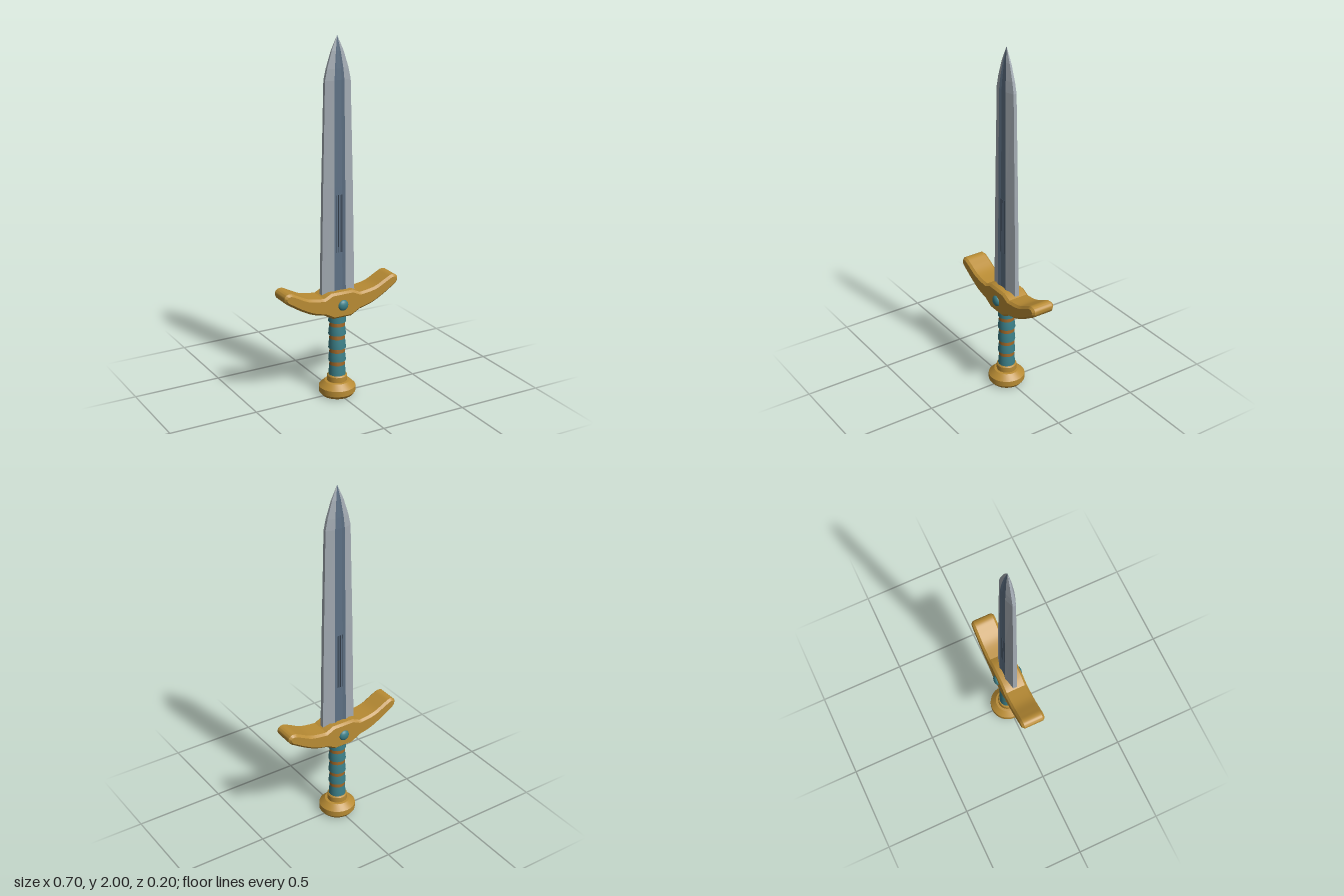
import * as THREE from 'three';
import { toCreasedNormals } from 'three/addons/utils/BufferGeometryUtils.js';

const mat = (name, color) => Object.assign(new THREE.MeshStandardMaterial({ color }), { name });

// Blade stations: y, half width, fuller half width, ridge depth, edge depth
const STATIONS = [
  [0.56, 0.102, 0.036, 0.033, 0.012],
  [1.2, 0.09, 0.033, 0.03, 0.011],
  [1.77, 0.076, 0.029, 0.026, 0.009],
  [1.83, 0.063, 0.025, 0.022, 0.008],
  [1.92, 0.035, 0.014, 0.013, 0.005],
  [2.0, 0, 0, 0, 0],
];

// Front half of the blade's cross-section, from the +x edge round to the -x edge
function section([y, w, f, z, e]) {
  const floor = z * 0.8;
  return [[w, -e], [w, e], [f, z], [f * 0.5, floor], [-f * 0.5, floor], [-f, z], [-w, e]]
    .map(([x, d]) => [x, y, d]);
}

// Lofts the chosen faces of the section along the stations
function bladeFaces(faces) {
  const rows = STATIONS.map(section);
  const pos = [];
  for (let i = 0; i < rows.length - 1; i++) {
    for (const j of faces) {
      const a0 = rows[i][j], b0 = rows[i][j + 1], a1 = rows[i + 1][j], b1 = rows[i + 1][j + 1];
      pos.push(...a0, ...a1, ...b0);
      if (i < rows.length - 2) pos.push(...a1, ...b1, ...b0);
    }
  }
  const geo = new THREE.BufferGeometry();
  geo.setAttribute('position', new THREE.Float32BufferAttribute(pos, 3));
  geo.computeVertexNormals();
  return geo;
}

// Turned part from [radius, y] pairs, listed bottom to top
function turned(points, segments = 32) {
  const geo = new THREE.LatheGeometry(points.map(([r, y]) => new THREE.Vector2(r, y)), segments);
  return toCreasedNormals(geo, 0.45);
}

// Upswept crossguard outline, mirrored about x = 0
function guardShape() {
  const v = (p) => new THREE.Vector2(...p);
  const arm = new THREE.SplineCurve([
    [0.11, 0.502], [0.18, 0.52], [0.25, 0.554], [0.305, 0.588], [0.34, 0.612], [0.35, 0.64],
    [0.336, 0.66], [0.308, 0.663], [0.27, 0.645], [0.2, 0.612], [0.11, 0.598],
  ].map(v)).getPoints(40);
  const right = [v([0.055, 0.472]), ...arm, v([0.065, 0.62])];
  const left = right.map((p) => new THREE.Vector2(-p.x, p.y)).reverse();
  return new THREE.Shape([...right, ...left]);
}

export function createModel() {
  const steel = mat('steel', 0xa3abb3);
  const fullerSteel = mat('blue steel', 0x5e7185);
  const slotSteel = mat('dark steel', 0x3c4856);
  const gold = mat('gold', 0xb98c34);
  const teal = mat('teal', 0x3b7f88);
  const bronze = mat('bronze', 0x9a6426);

  const sword = new THREE.Group();
  sword.name = 'sword';
  const add = (parent, name, geo, material) => {
    const mesh = new THREE.Mesh(geo, material);
    mesh.name = name;
    parent.add(mesh);
    return mesh;
  };

  // Blade: two identical halves turned about the long axis
  const blade = new THREE.Group();
  blade.name = 'blade';
  sword.add(blade);
  const bevels = bladeFaces([0, 1, 5]);
  const fuller = bladeFaces([2, 3, 4]);
  const slot = new THREE.BoxGeometry(0.004, 0.32, 0.006);
  for (const turn of [0, Math.PI]) {
    const half = new THREE.Group();
    half.name = turn ? 'bladeBack' : 'bladeFront';
    half.rotation.y = turn;
    blade.add(half);
    add(half, 'bladeBevels', bevels, steel);
    add(half, 'fuller', fuller, fullerSteel);
    for (const x of [-0.016, -0.005, 0.005, 0.016]) {
      add(half, 'fullerSlot', slot, slotSteel).position.set(x, 0.995, 0.0235);
    }
  }

  // Crossguard with chamfered rims
  const guard = new THREE.ExtrudeGeometry(guardShape(), {
    depth: 0.112, bevelEnabled: true, bevelThickness: 0.013,
    bevelSize: 0.012, bevelOffset: -0.012, bevelSegments: 1,
  });
  guard.translate(0, 0, -0.056);
  add(sword, 'crossguard', toCreasedNormals(guard, 0.5), gold);

  // Round gem on each face of the guard
  for (const side of [-1, 1]) {
    const gem = add(sword, 'gem', new THREE.SphereGeometry(0.031, 20, 12), teal);
    gem.position.set(0, 0.545, side * 0.066);
    gem.scale.z = 0.62;
  }

  // Grip: bulging sections separated by sunken bands
  const bands = [0.19, 0.265, 0.345, 0.42];
  const h = 0.011;
  const stops = [0.1, ...bands, 0.5];
  for (let i = 0; i < stops.length - 1; i++) {
    const a = stops[i] + (i ? h : 0), b = stops[i + 1] - (i < bands.length ? h : 0);
    add(sword, 'gripSection', turned([
      [0.036, a], [0.049, a + 0.001], [0.047, (a + b) / 2], [0.043, b], [0.036, b],
    ], 24), teal);
  }
  for (const y of bands) {
    add(sword, 'gripBand', turned([[0.044, y - h - 0.001], [0.04, y + h + 0.001]], 24), bronze);
  }

  // Collar and pommel
  add(sword, 'collar', turned([
    [0.056, 0.075], [0.056, 0.112], [0.051, 0.119], [0, 0.119],
  ]), gold);
  add(sword, 'pommel', turned([
    [0, 0], [0.088, 0], [0.102, 0.018], [0.102, 0.05], [0.07, 0.08], [0.055, 0.082], [0, 0.082],
  ]), gold);
  return sword;
}
